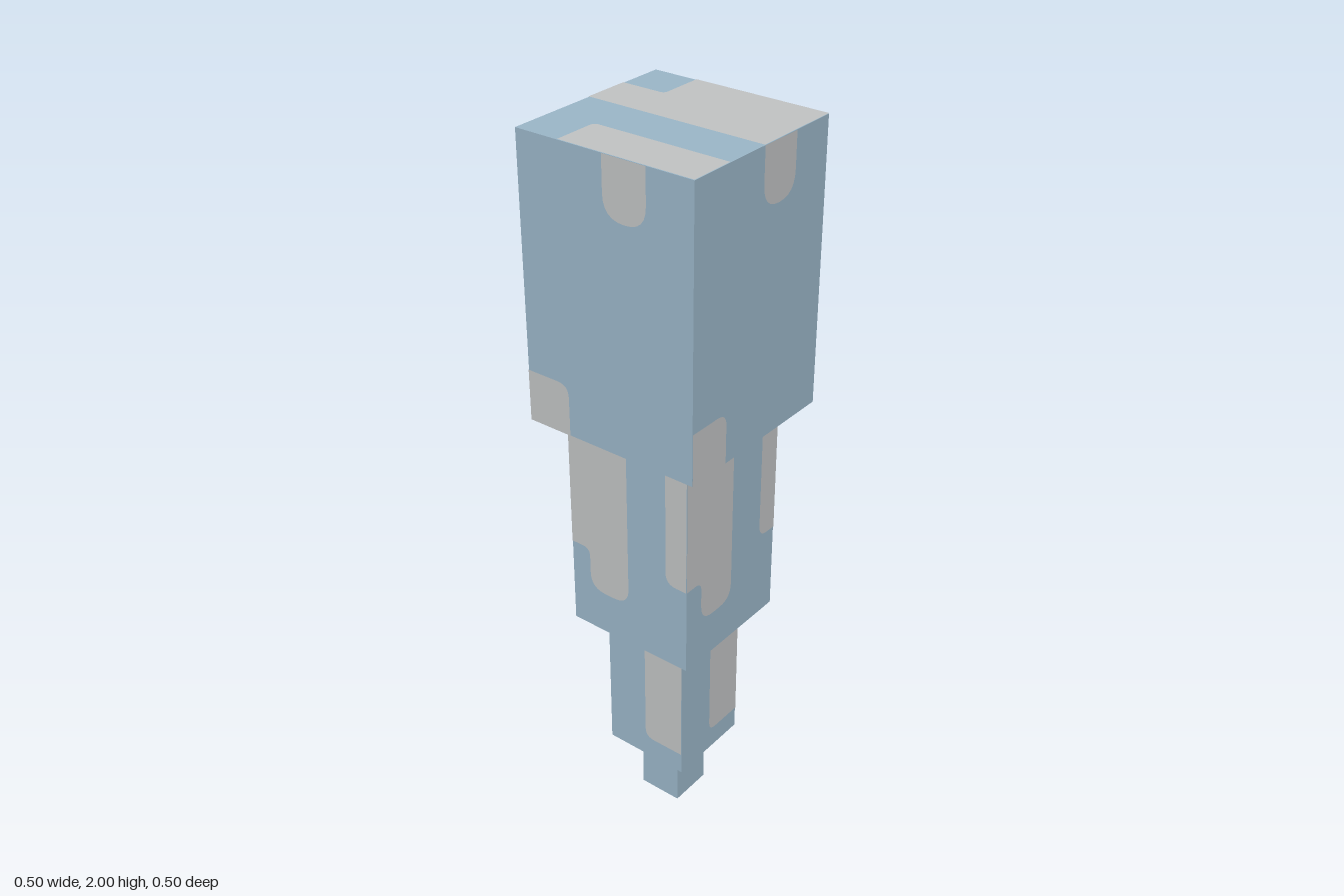
import * as THREE from 'three';

const blue = new THREE.MeshStandardMaterial({ color: 0x9cb8ca });
blue.name = 'icy blue';
const grey = new THREE.MeshStandardMaterial({ color: 0xc3c5c6 });
grey.name = 'pale grey';

const LIFT = 0.0015; // height of painted patches above the surface

// Flat outline from [x, y, cornerRadius] points, counter-clockwise
function patch(points) {
  const shape = new THREE.Shape();
  const n = points.length;
  const toward = (a, b, r) => {
    const d = Math.hypot(b[0] - a[0], b[1] - a[1]);
    return [a[0] + ((b[0] - a[0]) * r) / d, a[1] + ((b[1] - a[1]) * r) / d];
  };
  points.forEach((p, i) => {
    const r = p[2] || 0;
    const start = r ? toward(p, points[(i + n - 1) % n], r) : p;
    if (i === 0) shape.moveTo(start[0], start[1]);
    else shape.lineTo(start[0], start[1]);
    if (r) {
      const end = toward(p, points[(i + 1) % n], r);
      shape.quadraticCurveTo(p[0], p[1], end[0], end[1]);
    }
  });
  return new THREE.ShapeGeometry(shape, 6);
}

// Stripes on the horizontal faces of a segment with half width h
function capPatches(h) {
  const e = 0.126;
  if (h <= e) return [[[0, -h], [h, -h], [h, h], [0, h]]];
  return [
    [[-h, -h], [-e, -h], [-e, e, 0.014], [-h, e]],
    [[0, -h], [h, -h], [h, e], [e, e, 0.014], [e, h], [0, h]],
  ];
}

// Segments from the top down, with the drips on each side face
const segments = [
  {
    name: 'topBlock', h: 0.25, y0: 1.25, y1: 2,
    drips: [
      [[0, 1.85, 0.06], [0.122, 1.85, 0.06], [0.122, 2], [0, 2]],
      [[-0.25, 1.25], [-0.122, 1.25], [-0.122, 1.39, 0.035], [-0.25, 1.39]],
    ],
  },
  {
    name: 'upperShaft', h: 0.1875, y0: 0.625, y1: 1.25,
    drips: [
      [[-0.1875, 0.876], [-0.128, 0.876, 0.025], [-0.128, 0.75, 0.05], [0, 0.75, 0.05], [0, 1.25], [-0.1875, 1.25]],
      [[0.122, 0.876, 0.035], [0.1875, 0.876], [0.1875, 1.25], [0.122, 1.25]],
    ],
  },
  {
    name: 'lowerShaft', h: 0.125, y0: 0.1875, y1: 0.625,
    drips: [[[0, 0.253, 0.03], [0.125, 0.253], [0.125, 0.625], [0, 0.625]]],
  },
  { name: 'tip', h: 0.0625, y0: 0, y1: 0.1875, drips: [] },
];

export function createModel() {
  const model = new THREE.Group();
  model.name = 'steppedSpike';

  for (const { name, h, y0, y1, drips } of segments) {
    const group = new THREE.Group();
    group.name = name;
    const add = (geometry, material, label) => {
      const mesh = new THREE.Mesh(geometry, material);
      mesh.name = label;
      group.add(mesh);
      return mesh;
    };

    const body = add(new THREE.BoxGeometry(2 * h, y1 - y0, 2 * h), blue, name + 'Body');
    body.position.y = (y0 + y1) / 2;

    // The same drips repeat on all four sides
    for (const points of drips) {
      const geometry = patch(points).translate(0, 0, h + LIFT);
      for (let side = 0; side < 4; side++) {
        add(geometry, grey, 'drip').rotation.y = (side * Math.PI) / 2;
      }
    }

    // Stripes on the underside, and on the top face of the top block
    for (const points of capPatches(h)) {
      add(patch(points).rotateX(Math.PI / 2), grey, 'undersideStripe').position.y = y0 - (y0 > 0 ? LIFT : 0.0005);
      if (y1 === 2) add(patch(points).rotateX(-Math.PI / 2), grey, 'topStripe').position.y = y1 + LIFT;
    }
    model.add(group);
  }
  return model;
}
